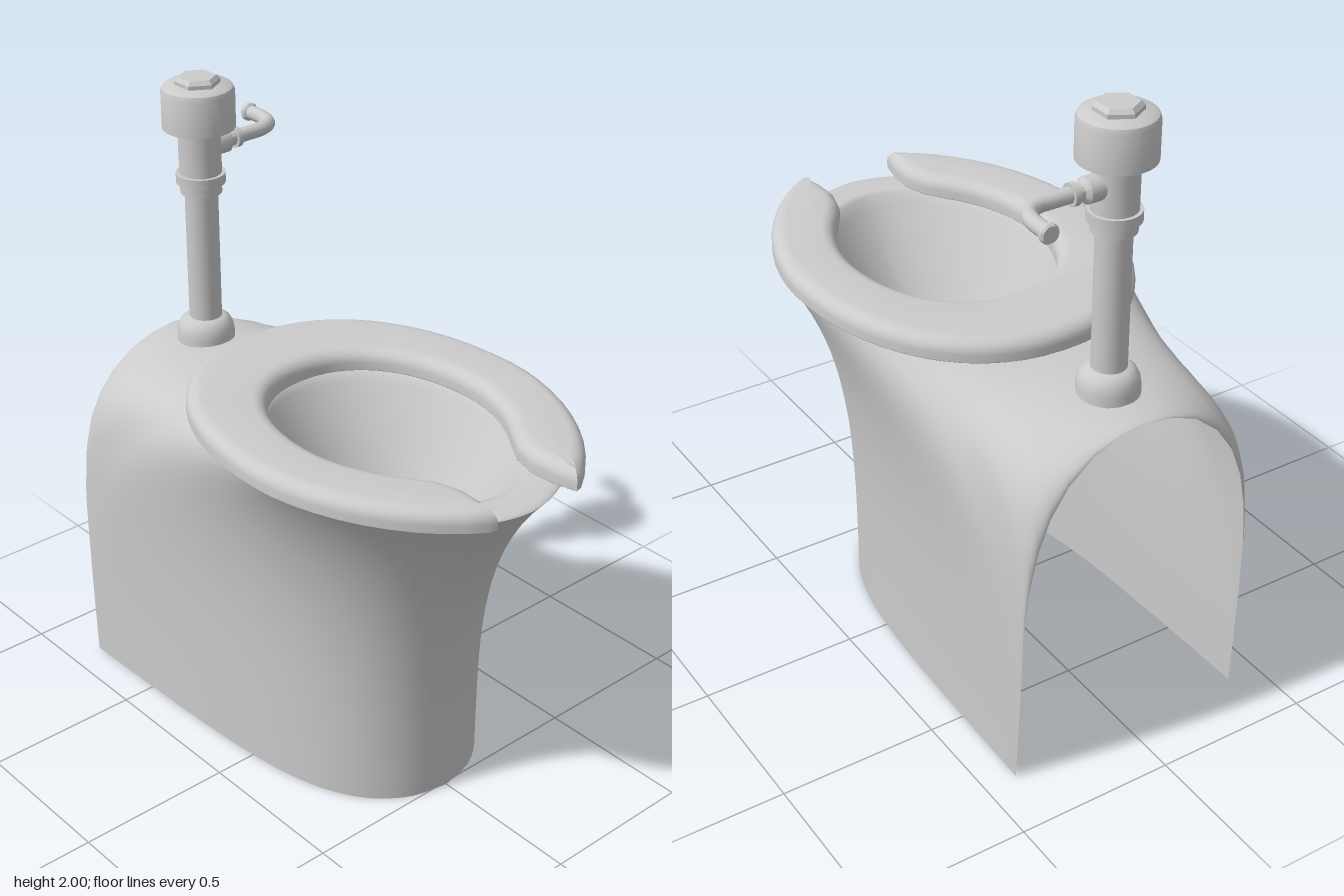
import * as THREE from 'three';
import { toCreasedNormals } from 'three/addons/utils/BufferGeometryUtils.js';

const V = (x, y, z) => new THREE.Vector3(x, y, z);
const COLS = 64;
const VALVE_Z = -0.65;

function makeMaterial(extra = {}) {
  return new THREE.MeshStandardMaterial({ color: 0xcccccc, ...extra });
}

function addMesh(parent, name, geometry, material) {
  const mesh = new THREE.Mesh(geometry, material);
  mesh.name = name;
  parent.add(mesh);
  return mesh;
}

// Egg-shaped plan outline, slightly pointed in front; angle 0 is the front, PI the back.
function egg(a, halfWidth, front, back, centre = (front + back) / 2, backPower = 2) {
  const s = Math.sin(a), c = Math.cos(a), e = 2 / (c > 0 ? 1.8 : backPower);
  const length = c > 0 ? front - centre : centre - back;
  return [
    halfWidth * Math.sign(s) * Math.abs(s) ** e,
    centre + length * Math.sign(c) * Math.abs(c) ** e,
  ];
}

// Skin a stack of closed rings; at(row, angle) gives each point.
function loft(rows, at) {
  const positions = [], index = [];
  for (let r = 0; r < rows; r++) {
    for (let i = 0; i < COLS; i++) {
      positions.push(...at(r, (i / COLS) * Math.PI * 2).toArray());
      if (r === rows - 1) continue;
      const a = r * COLS + i, b = r * COLS + ((i + 1) % COLS);
      index.push(a, a + COLS, b, b, a + COLS, b + COLS);
    }
  }
  const g = new THREE.BufferGeometry();
  g.setAttribute('position', new THREE.Float32BufferAttribute(positions, 3));
  g.setIndex(index);
  g.computeVertexNormals();
  return g;
}

// Pedestal shell: from the rim down to the floor line and the open rear arch.
function pedestalGeometry() {
  const floorLine = new THREE.CatmullRomCurve3([
    V(0, 0, 0.51), V(0.12, 0, 0.482), V(0.22, 0, 0.41), V(0.295, 0, 0.295),
    V(0.345, 0, 0.13), V(0.374, 0, -0.12), V(0.388, 0, -0.46), V(0.395, 0, -0.8),
  ]);
  const rearArch = new THREE.CatmullRomCurve3([
    V(0.395, 0, -0.8), V(0.392, 0.3, -0.815), V(0.385, 0.6, -0.825), V(0.35, 0.81, -0.83),
    V(0.275, 0.97, -0.83), V(0.145, 1.08, -0.83), V(0, 1.11, -0.83),
  ]);
  const split = 0.6875; // share of each half that ends on the floor
  const rows = 29;
  return loft(rows, (r, angle) => {
    const mirror = angle > Math.PI ? -1 : 1;
    const half = (mirror < 0 ? Math.PI * 2 - angle : angle) / Math.PI;
    const end = half <= split
      ? floorLine.getPoint(half / split)
      : rearArch.getPoint((half - split) / (1 - split));
    const [x, z] = egg(half * Math.PI, 0.495, 0.81, -0.42);
    const t = (r / (rows - 1)) ** 1.4;
    const flareX = THREE.MathUtils.lerp(3.3, 4, Math.min(1, half * 2));
    const flareZ = half < 0.5 ? flareX : THREE.MathUtils.lerp(4, 1.8, half * 2 - 1);
    return V(
      mirror * THREE.MathUtils.lerp(x, end.x, 1 - (1 - t) ** flareX),
      THREE.MathUtils.lerp(1.14, end.y, t),
      THREE.MathUtils.lerp(z, end.z, 1 - (1 - t) ** flareZ),
    );
  });
}

// Bowl rings: half width, front z, back z, height, from the drain out to the rim.
function bowlGeometry() {
  const rings = [
    [0, 0.045, 0.045, 0.48], [0.11, 0.08, 0.035, 0.49], [0.13, 0.2, 0.035, 0.59],
    [0.145, 0.31, 0.02, 0.7], [0.2, 0.43, -0.03, 0.83], [0.265, 0.55, -0.1, 0.97],
    [0.33, 0.67, -0.19, 1.11], [0.35, 0.69, -0.21, 1.14], [0.38, 0.71, -0.25, 1.148],
    [0.465, 0.78, -0.39, 1.148], [0.487, 0.802, -0.412, 1.147], [0.495, 0.81, -0.42, 1.14],
  ];
  return loft(rings.length, (r, angle) => {
    const [w, front, back, y] = rings[r];
    const [x, z] = egg(angle, w, front, back);
    return V(x, y, z);
  });
}

// Open-front seat: rounded on top, flat underneath.
function seatGeometry() {
  const outline = [];
  const arc = (from, to, n, ...shape) => {
    for (let i = 0; i <= n; i++) {
      outline.push(new THREE.Vector2(...egg(from + ((to - from) * i) / n, ...shape)));
    }
  };
  const lip = [[0.155, 0.828], [0.137, 0.75], [0.134, 0.67], [0.155, 0.595]];
  const TAU = Math.PI * 2;
  arc(0.4, TAU - 0.4, 48, 0.51, 0.88, -0.45, 0.22, 2.2);
  lip.forEach(([x, z]) => outline.push(new THREE.Vector2(-x, z)));
  arc(TAU - 0.74, 0.74, 40, 0.31, 0.645, -0.175, 0.23, 2.2);
  [...lip].reverse().forEach(([x, z]) => outline.push(new THREE.Vector2(x, z)));
  const g = new THREE.ExtrudeGeometry(new THREE.Shape(outline), {
    depth: 0.025, bevelEnabled: true, bevelThickness: 0.04,
    bevelSize: 0.045, bevelOffset: -0.045, bevelSegments: 6,
  });
  g.rotateX(Math.PI / 2);
  g.translate(0, 1.177, 0);
  const p = g.attributes.position;
  for (let i = 0; i < p.count; i++) p.setY(i, Math.max(p.getY(i), 1.15));
  return toCreasedNormals(g, 0.65);
}

function turned(profile, segments = 28) {
  const points = profile.map(([r, y]) => new THREE.Vector2(r, y));
  return toCreasedNormals(new THREE.LatheGeometry(points, segments), 0.6);
}

export function createModel() {
  const model = new THREE.Group();
  model.name = 'toilet';
  const solid = makeMaterial();
  const shell = makeMaterial({ side: THREE.DoubleSide });

  addMesh(model, 'pedestal', pedestalGeometry(), shell);
  addMesh(model, 'bowl', bowlGeometry(), shell);
  addMesh(model, 'seat', seatGeometry(), solid);

  // Flush valve standing on the rear deck
  const valve = new THREE.Group();
  valve.name = 'flushValve';
  valve.position.z = VALVE_Z;
  model.add(valve);

  addMesh(valve, 'pipeFlange', turned([
    [0.052, 1.09], [0.092, 1.09], [0.092, 1.15], [0.088, 1.172], [0.079, 1.19],
    [0.066, 1.201], [0.05, 1.205],
  ]), shell);
  addMesh(valve, 'supplyPipe', turned([[0.052, 1.09], [0.052, 1.64]]), shell);
  addMesh(valve, 'pipeCollar', turned([
    [0.05, 1.627], [0.065, 1.627], [0.065, 1.66], [0.077, 1.66], [0.077, 1.692], [0.06, 1.692],
  ]), solid);
  addMesh(valve, 'valveBody', turned([[0.066, 1.69], [0.066, 1.85]]), shell);
  addMesh(valve, 'valveCap', turned([
    [0, 1.84], [0.113, 1.84], [0.113, 1.955], [0.108, 1.968], [0.095, 1.976], [0, 1.976],
  ]), solid);
  addMesh(valve, 'capNut', turned([[0.07, 1.97], [0.07, 1.988], [0.058, 2], [0, 2]], 6), solid);

  // Side handle, bent toward the back
  const handle = new THREE.Group();
  handle.name = 'flushHandle';
  handle.position.y = 1.77;
  valve.add(handle);

  const boss = addMesh(handle, 'handleBoss', turned([
    [0, 0.04], [0.038, 0.04], [0.038, 0.1], [0.024, 0.112], [0.024, 0.13],
    [0.033, 0.13], [0.033, 0.148], [0.02, 0.148],
  ], 20), solid);
  boss.rotation.z = -Math.PI / 2;

  const path = new THREE.CatmullRomCurve3([
    V(0.13, 0, 0), V(0.19, 0, 0), V(0.25, 0, -0.003), V(0.29, 0, -0.025),
    V(0.308, 0, -0.07), V(0.31, 0, -0.14),
  ]);
  addMesh(handle, 'handleLever', new THREE.TubeGeometry(path, 28, 0.023, 14), solid);

  const tip = addMesh(handle, 'handleTip', turned([
    [0, 0.132], [0.024, 0.132], [0.029, 0.138], [0.029, 0.148], [0.024, 0.155], [0, 0.155],
  ], 20), solid);
  tip.position.x = 0.31;
  tip.rotation.x = -Math.PI / 2;

  return model;
}
